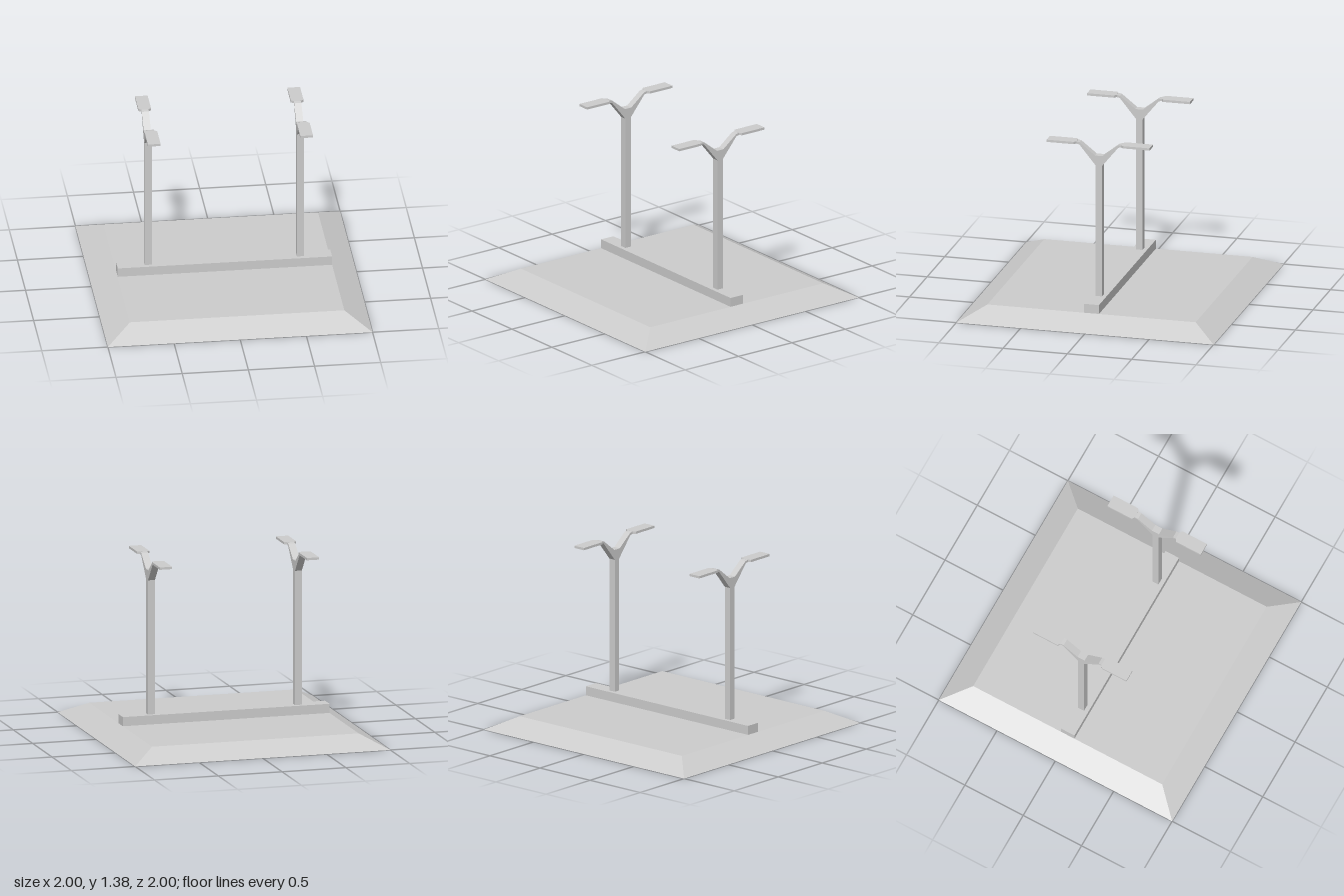
import * as THREE from 'three';

const material = new THREE.MeshStandardMaterial({ color: 0xcccccc, flatShading: true });

function add(parent, name, geometry, y = 0) {
  const mesh = new THREE.Mesh(geometry, material);
  mesh.name = name;
  mesh.position.y = y;
  parent.add(mesh);
  return mesh;
}

// Extrudes an outline mirrored about its vertical axis; half runs bottom to top.
function mirroredExtrude(half, depth) {
  const other = half.map(([x, y]) => [-x, y]).reverse();
  const shape = new THREE.Shape([...half, ...other].map(([x, y]) => new THREE.Vector2(x, y)));
  return new THREE.ExtrudeGeometry(shape, { depth, bevelEnabled: false });
}

function createStand() {
  const stand = new THREE.Group();
  stand.name = 'stand';

  // Upright post that forks into two arms, front and back
  const width = 0.054;
  const fork = mirroredExtrude([
    [0.025, 0.17], [0.025, 1.2], [0.152, 1.355], [0.18, 1.36],
    [0.18, 1.378], [0.15, 1.372], [0.03, 1.278],
  ], width);
  fork.translate(0, 0, -width / 2).rotateY(Math.PI / 2);
  add(stand, 'forkedPost', fork);

  // Flat rest at the end of each arm, flaring out from the arm's width
  for (const [name, angle] of [['frontRest', 0], ['backRest', Math.PI]]) {
    const plate = mirroredExtrude([[0.027, 0.175], [0.048, 0.19], [0.048, 0.4]], 0.018);
    plate.rotateX(Math.PI / 2).rotateY(angle);
    add(stand, name, plate, 1.378);
  }
  return stand;
}

export function createModel() {
  const model = new THREE.Group();
  model.name = 'doubleRestStand';

  // Square base with sloping sides
  const base = new THREE.CylinderGeometry(0.81 * Math.SQRT2, Math.SQRT2, 0.1, 4);
  base.rotateY(Math.PI / 4);
  add(model, 'base', base, 0.05);

  // Bar across the base that carries both posts
  add(model, 'crossbar', new THREE.BoxGeometry(1.62, 0.07, 0.115), 0.135);

  for (const side of [-1, 1]) {
    const stand = createStand();
    stand.name = side > 0 ? 'leftStand' : 'rightStand';
    stand.position.x = side * 0.576;
    model.add(stand);
  }
  return model;
}
